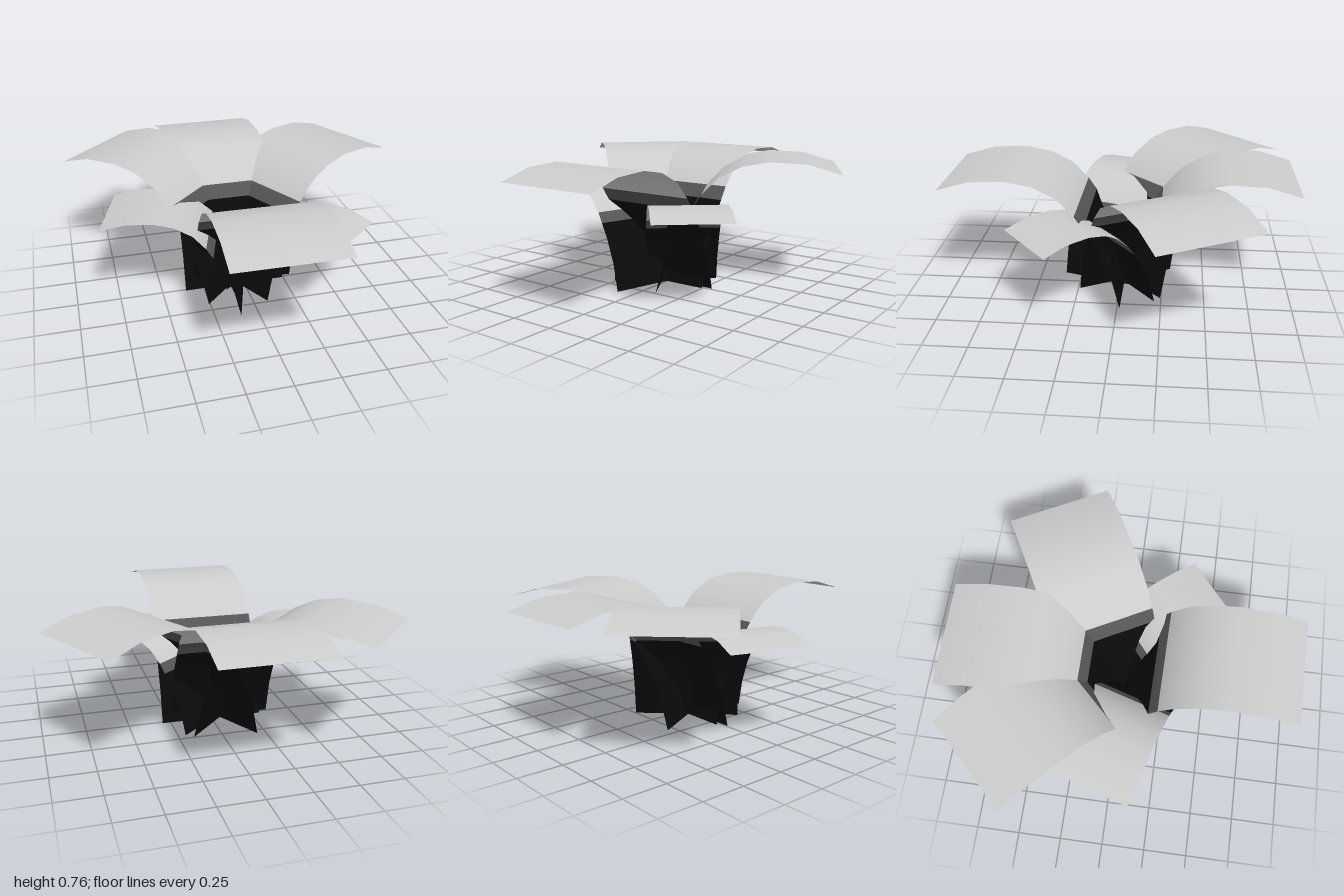
import * as THREE from 'three';

// Leaf side profile: [outward distance, height], from root to tip
const PROFILE = [[0, 0], [0.05, 0.2], [0.13, 0.38], [0.2, 0.49], [0.25, 0.565],
  [0.345, 0.665], [0.475, 0.73], [0.62, 0.757], [0.82, 0.748], [1.01, 0.693]];
const REACH = 1.01;
const WIDTH = 0.606;

// Strip of the profile between two rows, with normals that stay smooth across bands
function band(from, to) {
  const pos = [], nor = [], index = [];
  for (let i = from; i <= to; i++) {
    const [z, y] = PROFILE[i];
    const a = PROFILE[Math.max(i - 1, 0)], b = PROFILE[Math.min(i + 1, PROFILE.length - 1)];
    const n = new THREE.Vector3(0, b[0] - a[0], a[1] - b[1]).normalize();
    for (const side of [-1, 1]) {
      pos.push(side * WIDTH / 2, y, z);
      nor.push(n.x, n.y, n.z);
    }
    if (i < to) {
      const k = (i - from) * 2;
      index.push(k, k + 2, k + 1, k + 1, k + 2, k + 3);
    }
  }
  const geo = new THREE.BufferGeometry();
  geo.setAttribute('position', new THREE.Float32BufferAttribute(pos, 3));
  geo.setAttribute('normal', new THREE.Float32BufferAttribute(nor, 3));
  geo.setIndex(index);
  return geo;
}

export function createModel() {
  const model = new THREE.Group();
  model.name = 'plant';

  // Dark stalk, short transition, pale blade
  const parts = [['leafStalk', 0, 3, 0x0a0a0a], ['leafNeck', 3, 4, 0x555555], ['leafBlade', 4, 9, 0xcccccc]]
    .map(([name, from, to, color]) => ({
      name,
      geo: band(from, to),
      mat: new THREE.MeshStandardMaterial({ color, side: THREE.DoubleSide }),
    }));

  // Leaves: name, tip centre x and z, outward direction x and z, scale
  const leaves = [
    ['frontLeaf', -0.02, 0.99, -0.0165, 1, 1],
    ['backLeaf', -0.0575, -1, 0, -1, 1],
    ['backRightLeaf', -0.77, -0.735, -0.716, -0.7, 1],
    ['backLeftLeaf', 0.835, -0.5, 0.884, -0.467, 1],
    ['smallRightLeaf', -0.778, -0.093, -0.958, -0.287, 0.765],
    ['smallFrontLeaf', 0.5, 0.478, 0.64, 0.768, 0.71],
  ];
  for (const [name, tipX, tipZ, dx, dz, s] of leaves) {
    const leaf = new THREE.Group();
    leaf.name = name;
    for (const p of parts) {
      const mesh = new THREE.Mesh(p.geo, p.mat);
      mesh.name = p.name;
      leaf.add(mesh);
    }
    leaf.scale.setScalar(s);
    leaf.rotation.y = Math.atan2(dx, dz);
    leaf.position.set(tipX - dx * REACH * s, 0, tipZ - dz * REACH * s);
    model.add(leaf);
  }
  return model;
}
